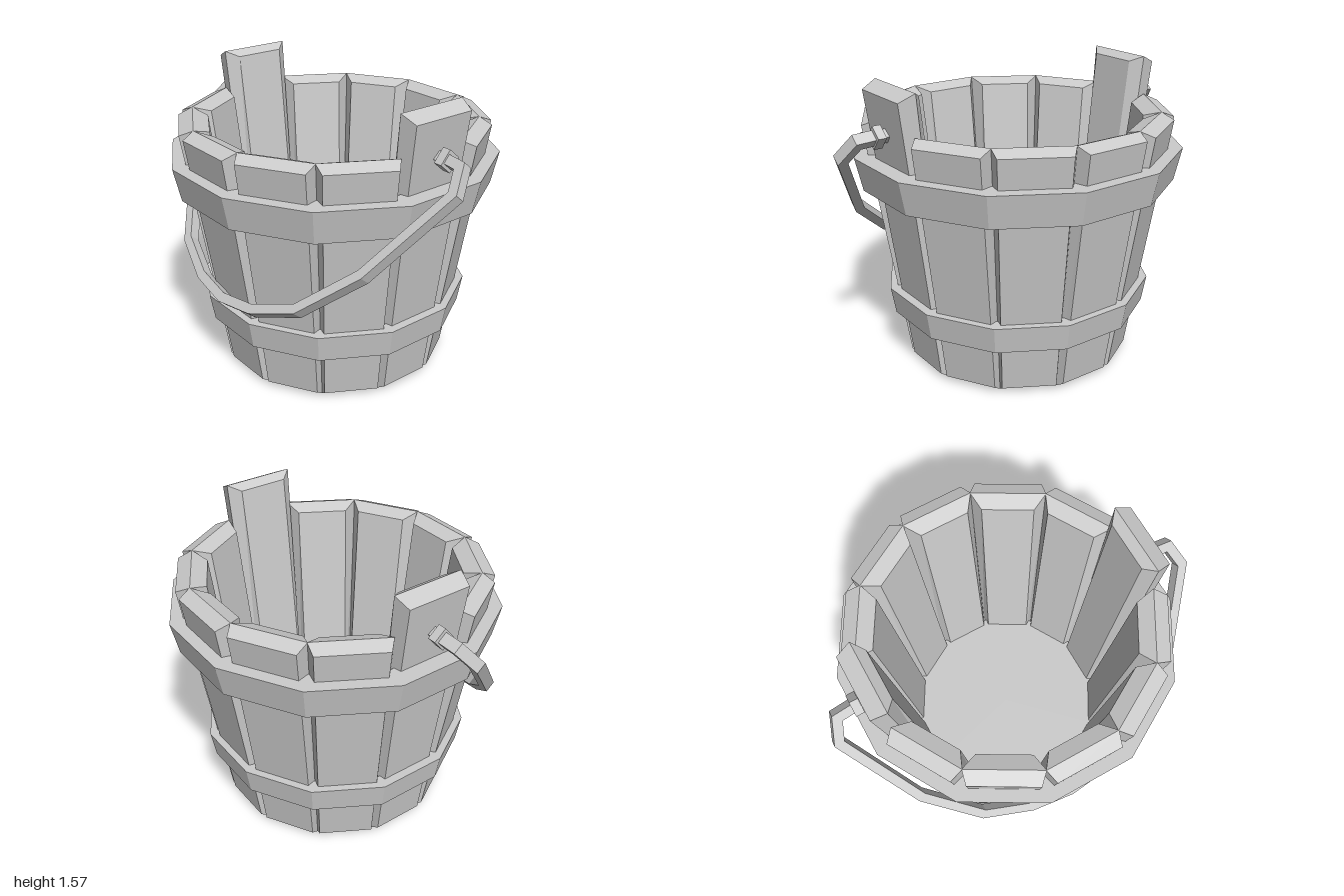
import * as THREE from 'three';

const SIDES = 12;
const STEP = (Math.PI * 2) / SIDES;
const toCorner = 1 / Math.cos(STEP / 2); // flat-side radius -> corner radius

const material = new THREE.MeshStandardMaterial({ color: 0xcccccc, flatShading: true });

function addMesh(parent, name, geometry) {
  const mesh = new THREE.Mesh(geometry, material);
  mesh.name = name;
  parent.add(mesh);
  return mesh;
}

// Rows of a stave end, from outside to inside: [half width, radius, height]
const BOTTOM = [[0.14, 0.597, 0.03], [0.148, 0.55, 0], [0.118, 0.49, 0.03]];
const RIM = [[0.175, 0.798, 1.33], [0.196, 0.725, 1.36], [0.135, 0.645, 1.33]];
const EAR = [[0.175, 0.797, 1.53], [0.196, 0.713, 1.57], [0.135, 0.662, 1.54]];

// Six-sided plank with a ridge at both ends, leaning outwards
function staveGeometry(top) {
  const positions = [];
  for (const [o, m, i] of [BOTTOM, top]) {
    const ring = [[-1, o], [1, o], [1, m], [1, i], [-1, i], [-1, m]];
    for (const [side, [w, r, y]] of ring) positions.push(side * w, y, r);
  }
  const index = [];
  const quad = (a, b, c, d) => index.push(a, b, c, a, c, d);
  for (let i = 0; i < 6; i++) {
    const j = (i + 1) % 6;
    quad(i, j, j + 6, i + 6);
  }
  quad(6, 7, 8, 11);
  quad(11, 8, 9, 10);
  quad(5, 2, 1, 0);
  quad(4, 3, 2, 5);
  const geometry = new THREE.BufferGeometry();
  geometry.setAttribute('position', new THREE.Float32BufferAttribute(positions, 3));
  geometry.setIndex(index);
  const flat = geometry.toNonIndexed();
  flat.computeVertexNormals();
  return flat;
}

// Twelve-sided hoop with a closed section
function hoopGeometry(y0, y1, r0, r1, inner0, inner1) {
  const section = [[r0, y0], [r1, y1], [inner1, y1], [inner0, y0], [r0, y0]];
  const points = section.map(([r, y]) => new THREE.Vector2(r * toCorner, y));
  return new THREE.LatheGeometry(points, SIDES, STEP / 2);
}

// Flat bar of constant width along a polyline, with mitred corners
function barGeometry(path, width, depth) {
  const pts = path.map(([x, y]) => new THREE.Vector2(x, y));
  const left = [], right = [];
  pts.forEach((p, i) => {
    const a = pts[Math.max(i - 1, 0)], b = pts[Math.min(i + 1, pts.length - 1)];
    const before = (i ? p.clone().sub(a) : b.clone().sub(p)).normalize();
    const after = (b !== p ? b.clone().sub(p) : before.clone()).normalize();
    const tangent = before.clone().add(after).normalize();
    const half = width / 2 / tangent.dot(before);
    const normal = new THREE.Vector2(-tangent.y, tangent.x).multiplyScalar(half);
    left.push(p.clone().add(normal));
    right.unshift(p.clone().sub(normal));
  });
  const geometry = new THREE.ExtrudeGeometry(new THREE.Shape([...left, ...right]), {
    depth, bevelEnabled: false,
  });
  return geometry.translate(0, 0, -depth / 2);
}

export function createModel() {
  const bucket = new THREE.Group();
  bucket.name = 'woodenBucket';

  // Staves, with two tall ones at the sides to carry the handle
  const staves = new THREE.Group();
  staves.name = 'staves';
  bucket.add(staves);
  const rimStave = staveGeometry(RIM), earStave = staveGeometry(EAR);
  for (let i = 0; i < SIDES; i++) {
    const tall = i % 6 === 3;
    const stave = addMesh(staves, tall ? 'tallStave' : 'stave', tall ? earStave : rimStave);
    stave.rotation.y = i * STEP;
  }

  // Floor
  const floorGeometry = new THREE.CylinderGeometry(
    0.53 * toCorner, 0.53 * toCorner, 0.08, SIDES, 1, false, STEP / 2);
  addMesh(bucket, 'floor', floorGeometry).position.y = 0.1;

  // Hoops
  addMesh(bucket, 'upperHoop', hoopGeometry(1.0, 1.175, 0.803, 0.84, 0.69, 0.71));
  addMesh(bucket, 'lowerHoop', hoopGeometry(0.285, 0.43, 0.673, 0.697, 0.595, 0.615));

  // Handle, hanging forward from its pivots
  const handle = new THREE.Group();
  handle.name = 'handle';
  handle.position.y = 1.335;
  handle.rotation.x = -0.71;
  bucket.add(handle);
  const half = [[0.82, 0], [0.925, -0.01], [0.972, -0.14], [0.74, -0.65],
    [0.49, -0.945], [0.23, -1.065]];
  const path = [...half.map(([x, y]) => [-x, y]), [0, -1.1],
    ...half.slice().reverse()];
  addMesh(handle, 'bail', barGeometry(path, 0.05, 0.06));
  for (const side of [-1, 1]) {
    addMesh(handle, 'pivotBlock', new THREE.BoxGeometry(0.045, 0.085, 0.08)).position.x = side * 0.82;
    addMesh(handle, 'pivotPin', new THREE.BoxGeometry(0.1, 0.05, 0.05)).position.x = side * 0.77;
  }

  return bucket;
}
